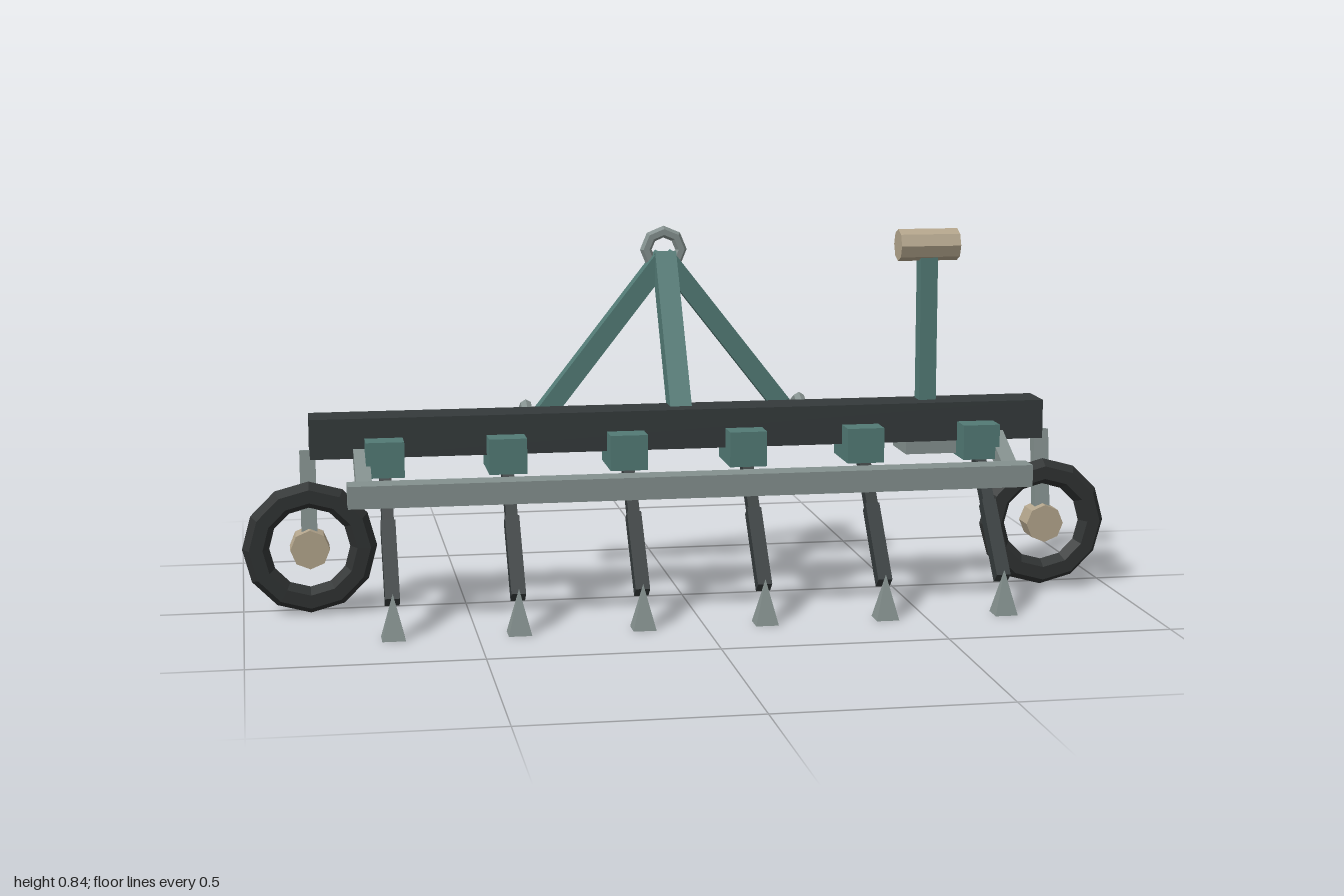
import * as THREE from 'three';

const paint = (color) => new THREE.MeshStandardMaterial({ color, flatShading: true });

export function createModel() {
  const model = new THREE.Group();
  const dark = paint(0x343a3b), green = paint(0x527a75), grey = paint(0x84908e);
  const tan = paint(0xb3a58c), rubber = paint(0x2f3232);

  const add = (name, geometry, material, x, y, z, parent = model) => {
    const mesh = new THREE.Mesh(geometry, material);
    mesh.name = name;
    mesh.position.set(x, y, z);
    parent.add(mesh);
    return mesh;
  };
  const box = (name, material, size, pos, parent) =>
    add(name, new THREE.BoxGeometry(...size), material, ...pos, parent);

  // Square bar running from point a to point b
  const bar = (name, material, a, b, width, depth, parent) => {
    const from = new THREE.Vector3(...a), to = new THREE.Vector3(...b);
    const dir = to.clone().sub(from);
    const mid = from.clone().add(to).multiplyScalar(0.5);
    const mesh = add(name, new THREE.BoxGeometry(width, dir.length(), depth), material, mid.x, mid.y, mid.z, parent);
    mesh.quaternion.setFromUnitVectors(new THREE.Vector3(0, 1, 0), dir.normalize());
    return mesh;
  };

  // Main toolbar and the rail in front of it
  box('mainBeam', dark, [1.69, 0.09, 0.1], [0, 0.395, -0.01]);
  box('frontRail', grey, [1.54, 0.05, 0.06], [0, 0.295, 0.183]);

  // Row of tines: clamp, two-part shank and pointed foot
  for (let i = 0; i < 6; i++) {
    const tine = new THREE.Group();
    tine.name = 'tine';
    tine.position.x = -0.682 + i * 0.2728;
    model.add(tine);
    box('clamp', green, [0.085, 0.08, 0.14], [0, 0.355, 0.03], tine);
    bar('upperShank', dark, [0, 0.35, 0.045], [0, 0.21, 0.167], 0.026, 0.03, tine);
    bar('lowerShank', dark, [0, 0.225, 0.154], [0, 0.077, 0.282], 0.032, 0.032, tine);
    const foot = new THREE.ConeGeometry(0.036, 0.1, 4).rotateY(Math.PI / 4);
    add('foot', foot, grey, 0, 0.05, 0.298, tine);
  }

  // Mirrored parts at both ends
  for (const s of [-1, 1]) {
    bar('railArm', grey, [s * 0.732, 0.288, 0.17], [s * 0.732, 0.37, 0], 0.035, 0.038);

    const wheel = new THREE.Group();
    wheel.name = 'wheel';
    wheel.position.set(s * 0.85, 0.15, 0.03);
    model.add(wheel);
    add('tire', new THREE.TorusGeometry(0.12, 0.03, 6, 12), rubber, 0, 0, 0, wheel);
    add('hub', new THREE.CylinderGeometry(0.044, 0.044, 0.06, 8).rotateX(Math.PI / 2), tan, 0, 0, 0, wheel);
    bar('wheelStrut', grey, [s * 0.85, 0.15, 0.028], [s * 0.85, 0.365, -0.001], 0.035, 0.03);

    // Hitch legs and lower eyes
    bar('hitchLeg', green, [s * 0.31, 0.365, -0.251], [0, 0.76, -0.251], 0.045, 0.044);
    add('lowerEye', new THREE.TorusGeometry(0.046, 0.014, 6, 8).rotateY(Math.PI / 2), grey, s * 0.33, 0.365, -0.262);
  }

  // Rest of the hitch
  box('hitchCrossbar', dark, [0.64, 0.05, 0.05], [0, 0.365, -0.255]);
  bar('hitchBrace', green, [0, 0.4, -0.015], [0, 0.76, -0.25], 0.05, 0.052);
  add('topEye', new THREE.TorusGeometry(0.042, 0.014, 6, 8), grey, 0, 0.775, -0.261);

  // Marker post with its mounting block and head
  box('postMount', grey, [0.12, 0.09, 0.12], [0.58, 0.365, -0.025]);
  box('post', green, [0.04, 0.38, 0.04], [0.58, 0.6, -0.025]);
  add('postHead', new THREE.CylinderGeometry(0.037, 0.037, 0.14, 8).rotateZ(Math.PI / 2), tan, 0.58, 0.8, -0.025);

  return model;
}
